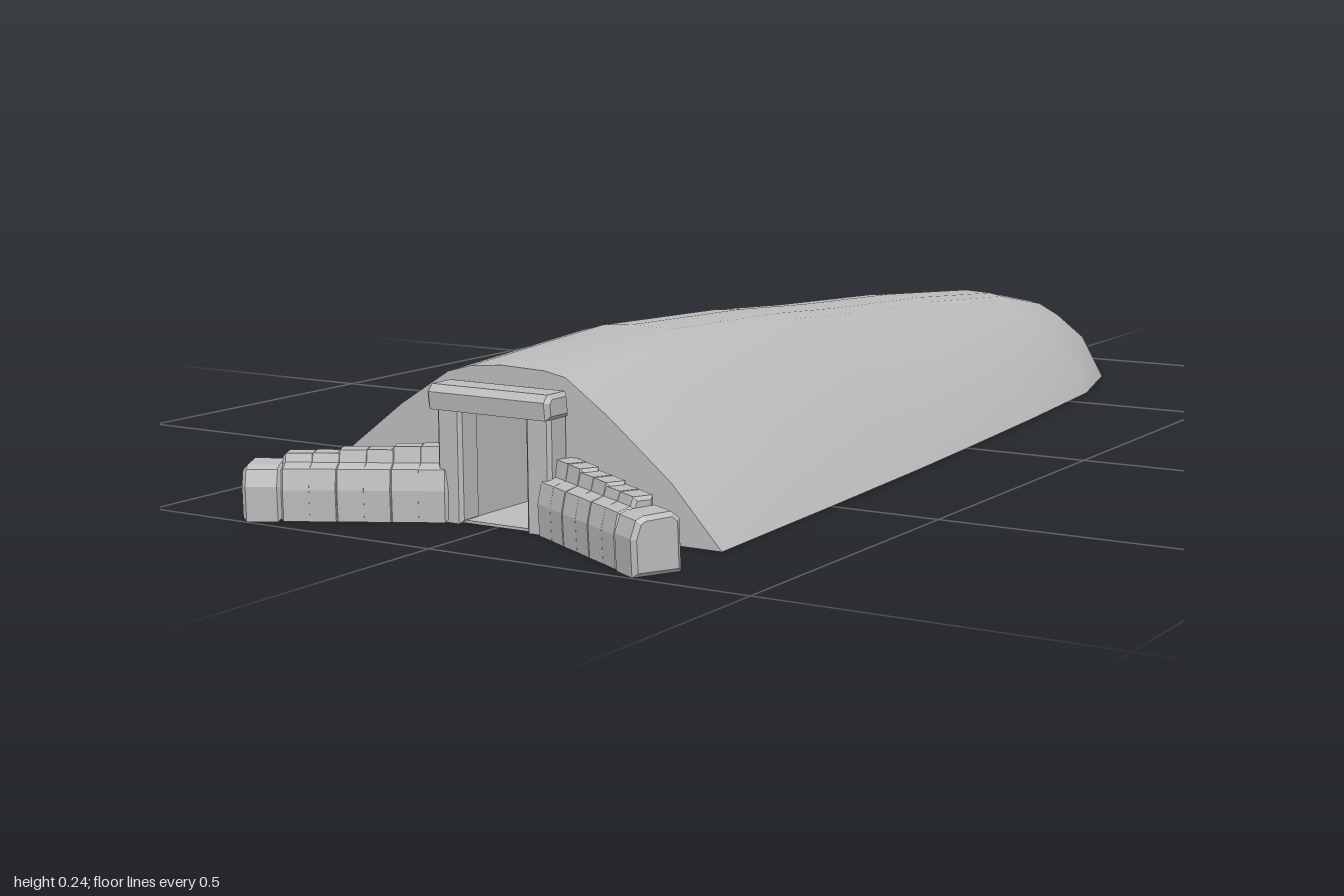
import * as THREE from 'three';

const stoneGrey = new THREE.MeshStandardMaterial({ color: 0xbcbcbc, side: THREE.DoubleSide });
stoneGrey.name = 'stone grey';

// Mound stations: z, left edge, right edge, height, roundness
const STATIONS = [
  [0.82, -0.35, 0.345, 0.221, 0],
  [0.5, -0.36, 0.328, 0.24, 0.08],
  [0.2, -0.335, 0.31, 0.229, 0.12],
  [0, -0.305, 0.295, 0.215, 0.15],
  [-0.3, -0.265, 0.27, 0.2, 0.25],
  [-0.6, -0.215, 0.24, 0.176, 0.45],
  [-0.8, -0.155, 0.185, 0.138, 0.6],
  [-0.92, -0.1, 0.11, 0.083, 0.75],
  [-1, -0.02, 0.02, 0.032, 0.9],
];
// Cross-section: position across (-1 to 1) and share of the height
const PROFILE = [
  [-1, 0], [-0.8, 0.38], [-0.53, 0.69], [-0.28, 0.93], [-0.16, 0.98],
  [0, 1], [0.2, 0.99], [0.3, 0.96], [0.5, 0.74], [0.78, 0.38], [1, 0],
];

function section([z, left, right, height, round]) {
  const mid = -0.012 * (height / 0.24);
  return PROFILE.map(([u, f]) => {
    const x = u < 0 ? mid - u * (left - mid) : mid + u * (right - mid);
    const y = height * THREE.MathUtils.lerp(f, Math.sqrt(1 - u * u), round);
    return new THREE.Vector3(x, y, z);
  });
}

function moundGeometry() {
  const n = PROFILE.length;
  const points = STATIONS.flatMap(section);
  const index = [];
  for (let i = 0; i < STATIONS.length - 1; i++) {
    for (let j = 0; j < n - 1; j++) {
      const a = i * n + j, b = a + 1, c = a + n, d = c + 1;
      index.push(a, b, c, b, d, c);
    }
  }
  const g = new THREE.BufferGeometry().setFromPoints(points);
  g.setIndex(index);
  g.computeVertexNormals();
  return g;
}

// Chamfered block; its profile is given as [depth, height] points
function block(width, profile, bevel = 0.006) {
  const shape = new THREE.Shape(profile.map(([z, y]) => new THREE.Vector2(z, y)));
  const g = new THREE.ExtrudeGeometry(shape, {
    depth: width - 2 * bevel, bevelEnabled: true, bevelSegments: 1,
    bevelSize: bevel, bevelThickness: bevel, bevelOffset: -bevel,
  });
  g.translate(0, 0, -(width - 2 * bevel) / 2);
  g.rotateY(-Math.PI / 2);
  return g;
}

export function createModel() {
  const model = new THREE.Group();
  const add = (name, geometry, x = 0, y = 0, z = 0, yaw = 0) => {
    const mesh = new THREE.Mesh(geometry, stoneGrey);
    mesh.name = name;
    mesh.position.set(x, y, z);
    mesh.rotation.y = yaw;
    model.add(mesh);
    return mesh;
  };

  add('mound', moundGeometry());

  // Flat ends; the front one is notched for the doorway
  const door = { w: 0.062, h: 0.165, back: 0.7 };
  const face = (station, notch) => {
    const pts = section(station).map((p) => new THREE.Vector2(p.x, p.y));
    return new THREE.ShapeGeometry(new THREE.Shape([...pts, ...notch]));
  };
  const notch = [[door.w, 0], [door.w, door.h], [-door.w, door.h], [-door.w, 0]]
    .map(([x, y]) => new THREE.Vector2(x, y));
  add('frontWall', face(STATIONS[0], notch), 0, 0, 0.82);
  add('tailEnd', face(STATIONS[8], []).rotateY(0), 0, 0, -1);

  // Passage chamber behind the doorway
  const depth = 0.82 - door.back, mz = door.back + depth / 2;
  add('chamberFloor', new THREE.BoxGeometry(door.w * 2, 0.004, depth + 0.03), 0, 0.002, mz + 0.015);
  add('chamberRoof', new THREE.BoxGeometry(door.w * 2, 0.004, depth), 0, door.h - 0.002, mz);
  add('chamberBack', new THREE.BoxGeometry(door.w * 2, door.h, 0.004), 0, door.h / 2, door.back + 0.002);
  for (const s of [-1, 1]) {
    add('chamberSide', new THREE.BoxGeometry(0.004, door.h, depth), s * (door.w - 0.002), door.h / 2, mz);
  }

  // Door posts and lintel
  for (const s of [-1, 1]) {
    add('doorPost', block(0.042, [[-0.022, 0], [0.02, 0], [0.02, 0.18], [-0.022, 0.18]], 0.005), s * 0.076, 0, 0.84);
  }
  add('lintel', block(0.208, [[-0.026, 0.16], [0.024, 0.16], [0.027, 0.185], [0.018, 0.195], [-0.022, 0.195]], 0.006), 0, 0, 0.847);

  // Splayed walls of stones with sloping shoulders, lower towards the ends
  const COUNT = 6;
  for (const s of [-1, 1]) {
    for (let i = 0; i < COUNT; i++) {
      const t = i / (COUNT - 1);
      const top = 0.103 - 0.013 * t + 0.002 * (i % 2);
      const profile = [[-0.026, 0], [0.028, 0], [0.03, 0.045], [0.024, 0.074], [0.006, 0.08], [0.002, top], [-0.026, top]];
      add('wallStone', block(0.047, profile, 0.005),
        s * (0.11 + 0.168 * t), 0, 0.848 + 0.09 * t, -s * (0.47 + 0.05 * (i % 2)));
    }
    add('endStone', block(0.056, [[-0.034, 0], [0.036, 0], [0.038, 0.05], [0.03, 0.073], [0.02, 0.078], [-0.02, 0.08], [-0.032, 0.07]], 0.006),
      s * 0.322, 0, 0.956, -s * 0.5);
  }
  return model;
}
